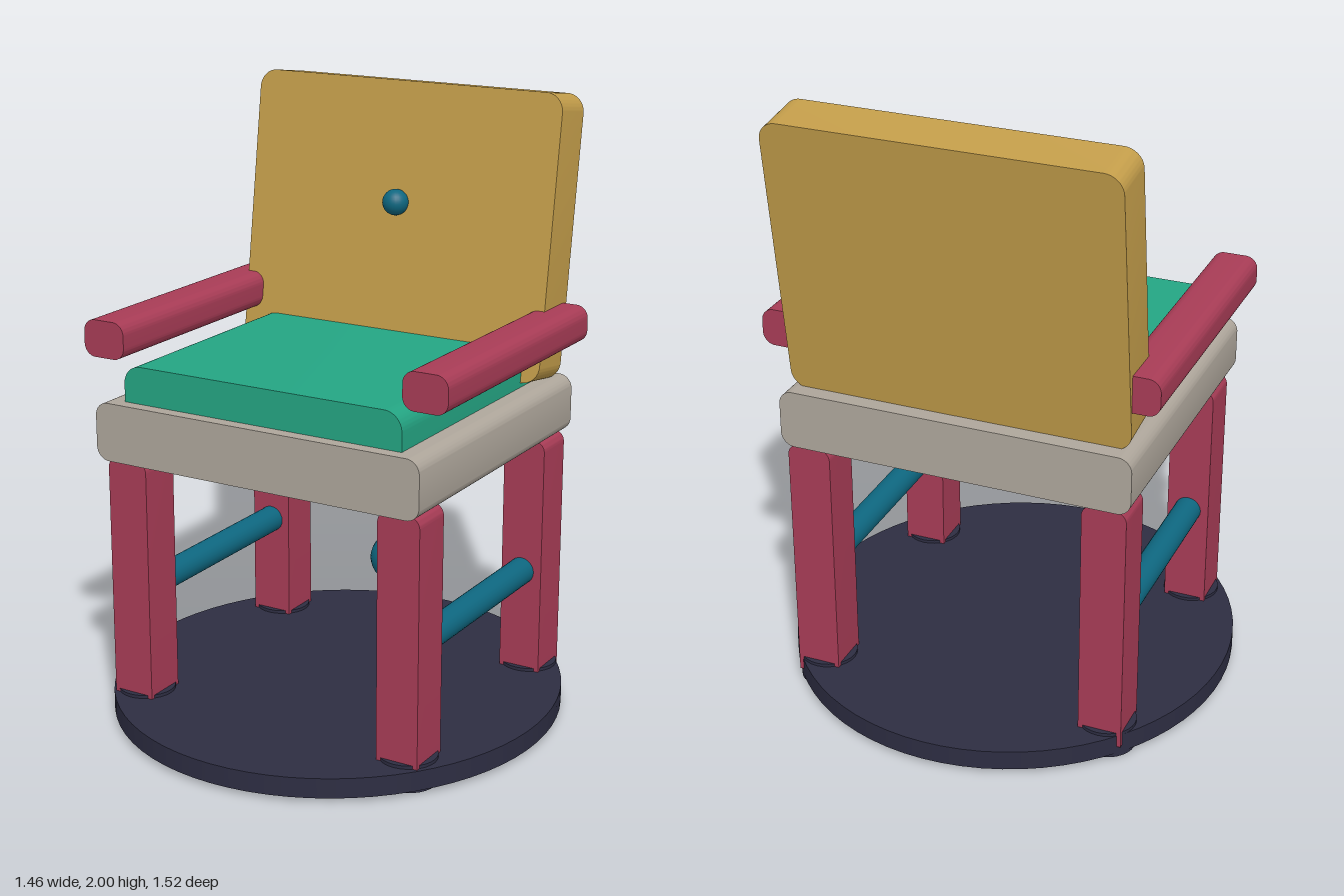
import * as THREE from 'three';
import { toCreasedNormals } from 'three/addons/utils/BufferGeometryUtils.js';

const paint = (name, color) => Object.assign(new THREE.MeshStandardMaterial({ color }), { name });

// Rounded rectangle in xy, extruded along z and centred on the origin
function roundedSlab(w, h, d, rTop, rBottom = rTop) {
  const x = w / 2, y = h / 2;
  const s = new THREE.Shape();
  s.moveTo(-x + rBottom, -y);
  s.lineTo(x - rBottom, -y);
  if (rBottom) s.absarc(x - rBottom, -y + rBottom, rBottom, -Math.PI / 2, 0);
  s.lineTo(x, y - rTop);
  s.absarc(x - rTop, y - rTop, rTop, 0, Math.PI / 2);
  s.lineTo(-x + rTop, y);
  s.absarc(-x + rTop, y - rTop, rTop, Math.PI / 2, Math.PI);
  s.lineTo(-x, -y + rBottom);
  if (rBottom) s.absarc(-x + rBottom, -y + rBottom, rBottom, Math.PI, Math.PI * 1.5);
  const geo = new THREE.ExtrudeGeometry(s, { depth: d, bevelEnabled: false, curveSegments: 8 });
  geo.translate(0, 0, -d / 2);
  return toCreasedNormals(geo, 0.6);
}

export function createModel() {
  const model = new THREE.Group();
  model.name = 'armchair';

  const gold = paint('gold', 0xc39d4a);
  const green = paint('green', 0x24a583);
  const grey = paint('warm grey', 0xaea69b);
  const red = paint('crimson', 0xa83c56);
  const teal = paint('teal', 0x0e6780);
  const navy = paint('navy', 0x2d2d42);

  const add = (name, geo, mat, x, y, z) => {
    const mesh = new THREE.Mesh(geo, mat);
    mesh.name = name;
    mesh.position.set(x, y, z);
    model.add(mesh);
    return mesh;
  };

  // Slightly oval floor plate
  const base = add('basePlate', new THREE.CylinderGeometry(1, 1, 0.065, 72), navy, 0, 0.047, 0);
  base.scale.set(0.732, 1, 0.762);

  // Seat frame and cushion
  add('seatFrame', roundedSlab(1.155, 0.19, 1.03, 0.045), grey, 0, 0.98, 0);
  add('cushion', roundedSlab(0.99, 0.13, 0.87, 0.06, 0), green, 0, 1.13, 0.037);

  // Reclined backrest with its button
  const back = add('backrest', roundedSlab(1.115, 0.92, 0.16, 0.06), gold, 0, 1.535, -0.445);
  back.rotation.x = -0.141;
  add('backButton', new THREE.SphereGeometry(0.043, 24, 16), teal, 0, 1.615, -0.36);

  // Legs, feet, side rails and armrests on both sides
  const legGeo = roundedSlab(0.143, 0.845, 0.148, 0.035, 0);
  const footGeo = new THREE.CylinderGeometry(0.093, 0.093, 0.09, 28);
  const railGeo = new THREE.CylinderGeometry(0.045, 0.045, 0.76, 24).rotateX(Math.PI / 2);
  const armGeo = roundedSlab(0.15, 0.12, 0.945, 0.04);
  for (const side of [-1, 1]) {
    for (const [end, z] of [['front', 0.405], ['back', -0.43]]) {
      add(end + 'Leg', legGeo, red, side * 0.49, 0.4625, z);
      add(end + 'Foot', footGeo, navy, side * 0.49, 0.045, z);
    }
    add('sideRail', railGeo, teal, side * 0.49, 0.43, -0.012);
    add('armrest', armGeo, red, side * 0.57, 1.265, 0);
  }

  // Round knob set into the inner face of the left front leg
  add('legKnob', new THREE.SphereGeometry(0.073, 24, 16), teal, 0.435, 0.717, 0.4);

  return model;
}
